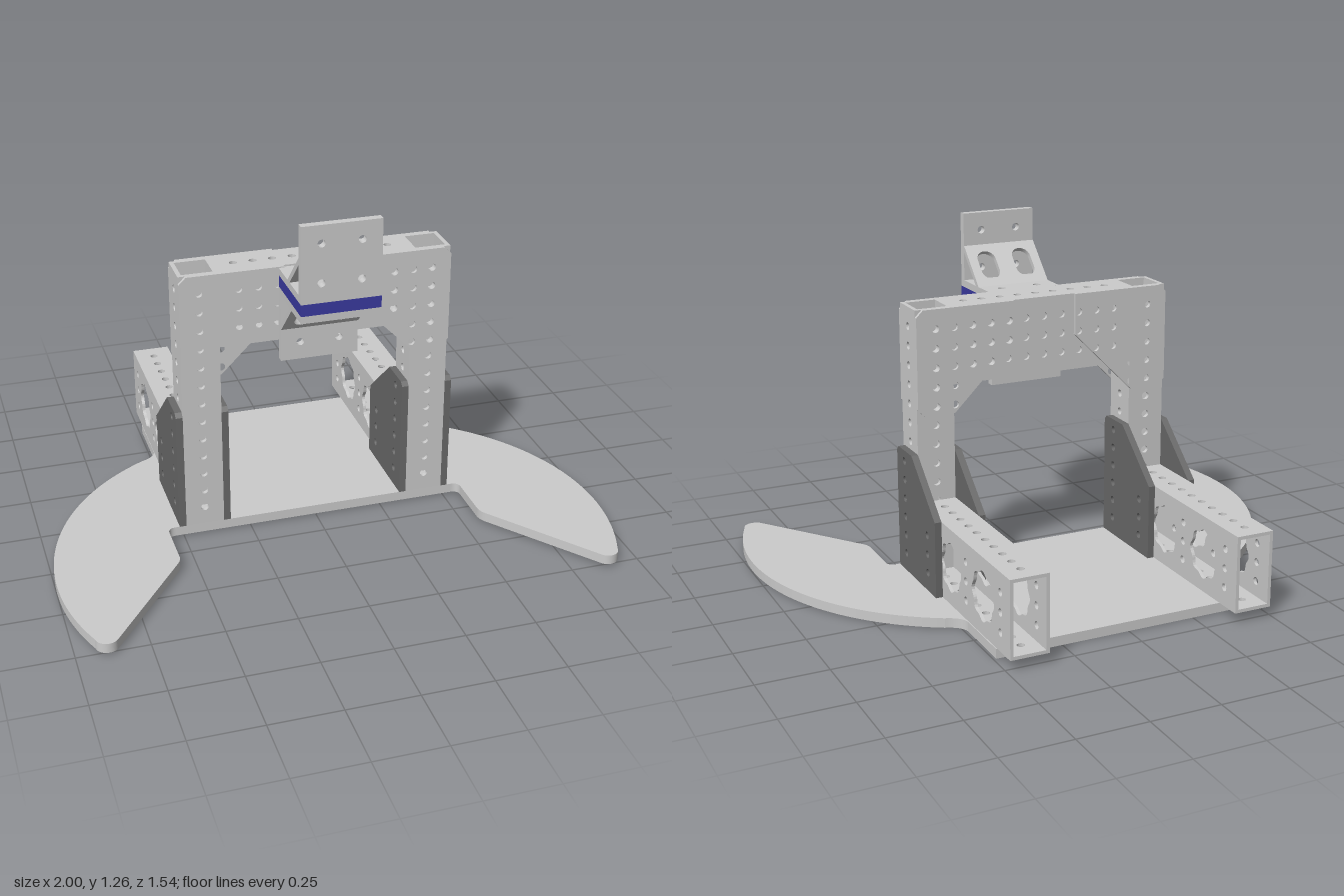
import * as THREE from 'three';

const grey = new THREE.MeshStandardMaterial({ color: 0xcccccc });
const dark = new THREE.MeshStandardMaterial({ color: 0x6a6a6a });
const blue = new THREE.MeshStandardMaterial({ color: 0x3a3aa0 });
const R = 0.014, PITCH = 0.07;

// evenly spaced numbers from a to b at the hole pitch
const steps = (a, b, d = PITCH) =>
  Array.from({ length: Math.round((b - a) / d) + 1 }, (_, i) => a + i * d);
const grid = (xs, ys) => xs.flatMap(x => ys.map(y => [x, y]));
const rect = (x0, y0, x1, y1) => [[x0, y0], [x1, y0], [x1, y1], [x0, y1]];

function circle(x, y, r = R) {
  return new THREE.Path().absarc(x, y, r, 0, Math.PI * 2, true);
}

// scalloped lightening hole
function scallop(x, y) {
  const pts = steps(0, 63, 1).map(i => {
    const a = i / 64 * Math.PI * 2, r = 0.086 + 0.005 * Math.cos(8 * a);
    return new THREE.Vector2(x + r * Math.cos(a), y + r * Math.sin(a));
  });
  return new THREE.Path(pts);
}

// obround slot along y
function slot(x, y, r, half) {
  const p = new THREE.Path();
  p.absarc(x, y + half, r, 0, Math.PI, false);
  p.absarc(x, y - half, r, Math.PI, Math.PI * 2, false);
  p.closePath();
  return p;
}

// flat sheet with holes; plane 'xy' grows to +z, 'zy' to -x, 'xz' to -y from 'at'
function panel(name, plane, outline, holes, thick, at, material = grey) {
  const shape = new THREE.Shape(outline.map(p => new THREE.Vector2(p[0], p[1])));
  shape.holes = holes.map(h => (Array.isArray(h) ? circle(h[0], h[1]) : h));
  const geo = new THREE.ExtrudeGeometry(shape, { depth: thick, bevelEnabled: false, curveSegments: 10 });
  const mesh = new THREE.Mesh(geo, material);
  mesh.name = name;
  if (plane === 'zy') { mesh.rotation.y = -Math.PI / 2; mesh.position.x = at; }
  else if (plane === 'xz') { mesh.rotation.x = Math.PI / 2; mesh.position.y = at; }
  else mesh.position.z = at;
  return mesh;
}

function group(name, ...children) {
  const g = new THREE.Group();
  g.name = name;
  if (children.length) g.add(...children);
  return g;
}

// curved base with two forward-sweeping wings
function basePlate() {
  const half = new THREE.Path();
  half.moveTo(0.49, -0.66);
  half.lineTo(0.49, -0.43);
  half.quadraticCurveTo(0.495, -0.39, 0.55, -0.37);
  half.absarc(0.133, 0.39, 0.867, Math.atan2(-0.76, 0.417), Math.atan2(0.34, 0.797), false);
  half.absarc(0.89, 0.727, 0.04, 0.35, 2.45, false);
  half.lineTo(0.575, 0.375);
  half.quadraticCurveTo(0.56, 0.355, 0.56, 0.33);
  half.lineTo(0.56, 0.17);
  half.quadraticCurveTo(0.56, 0.14, 0.53, 0.14);
  const right = half.getPoints(24).map(p => [p.x, p.y]);
  const outline = [...right, ...right.map(([x, z]) => [-x, z]).reverse()];
  const plate = panel('basePlate', 'xz', outline, grid([-0.42, 0.42], steps(-0.63, -0.07)), 0.035, 0.042);
  plate.rotation.x -= 0.007;
  return plate;
}

// low hollow rail running backwards
function rail(cx) {
  const z0 = -0.77, z1 = 0, y0 = 0.042, y1 = 0.32, t = 0.012;
  const side = () => [...grid([-0.695, -0.415, -0.135], [0.11, 0.18, 0.25]),
    scallop(-0.555, 0.18), scallop(-0.285, 0.18)];
  const flat = rect(cx - 0.07, z0, cx + 0.07, z1);
  const top = grid([cx], steps(-0.7, -0.07));
  return group('rail',
    panel('railSide', 'zy', rect(z0, y0, z1, y1), side(), t, cx + 0.07),
    panel('railSide', 'zy', rect(z0, y0, z1, y1), side(), t, cx - 0.07 + t),
    panel('railTop', 'xz', flat, top, t, y1),
    panel('railBottom', 'xz', flat, top, t, y0 + t));
}

// hollow square post
function upright(cx) {
  const y0 = 0.042, y1 = 1.02, t = 0.015;
  const ys = steps(0.11, 0.95);
  const face = rect(cx - 0.07, y0, cx + 0.07, y1), side = rect(0, y0, 0.14, y1);
  return group('upright',
    panel('uprightFront', 'xy', face, grid([cx], ys), t, 0.14 - t),
    panel('uprightBack', 'xy', face, grid([cx], ys), t, 0),
    panel('uprightSide', 'zy', side, grid([0.07], ys), t, cx + 0.07),
    panel('uprightSide', 'zy', side, grid([0.07], ys), t, cx - 0.07 + t));
}

// hollow cross beam between the posts
function crossBeam() {
  const t = 0.012, xs = steps(-0.28, 0.28);
  const face = rect(-0.35, 0.74, 0.35, 1.02), flat = rect(-0.35, 0, 0.35, 0.14);
  const holes = grid(xs, [0.81, 0.88, 0.95]);
  return group('crossBeam',
    panel('beamFront', 'xy', face, holes, t, 0.14 - t),
    panel('beamBack', 'xy', face, holes, t, 0),
    panel('beamTop', 'xz', flat, grid(xs, [0.07]), t, 1.02),
    panel('beamBottom', 'xz', flat, grid(xs, [0.07]), t, 0.74 + t));
}

// corner gusset on one face of the frame
function gusset(s, z) {
  const outline = [[0.12, 1.02], [0.12, 0.87], [0.35, 0.64], [0.465, 0.64],
    [0.49, 0.665], [0.49, 0.995], [0.465, 1.02]].map(([x, y]) => [s * x, y]);
  const holes = [...grid([0.14, 0.21, 0.28, 0.35, 0.42], [0.88, 0.95]),
    ...grid([0.21, 0.28, 0.35, 0.42], [0.81]), ...grid([0.35, 0.42], [0.74, 0.67])];
  return panel('cornerGusset', 'xy', outline, holes.map(([x, y]) => [s * x, y]), 0.012, z);
}

// dark plate joining post and rail
function sidePlate(x) {
  const outline = [[0.14, 0.042], [0.14, 0.485], [0.125, 0.5], [0, 0.5], [-0.208, 0.32], [-0.208, 0.042]];
  const holes = [...grid([0.07], steps(0.11, 0.46)), ...grid([-0.135], [0.11, 0.18, 0.25])];
  return panel('sidePlate', 'zy', outline, holes, 0.025, x, dark);
}

// braced angle bracket, outer corner at the origin, legs along +y and -z
function bracket(name) {
  const holes = sign => grid([-0.07, 0.07], [0.07 * sign, 0.21 * sign]);
  const brace = panel('bracketBrace', 'xy', rect(-0.14, -0.092, 0.14, 0.092),
    [slot(-0.07, 0, 0.036, 0.025), slot(0.07, 0, 0.036, 0.025)], 0.018, 0);
  brace.position.set(0, 0.09, -0.095);
  brace.rotation.x = Math.PI / 4;
  return group(name,
    panel('bracketWall', 'xy', rect(-0.14, 0, 0.14, 0.275), holes(1), 0.028, -0.028),
    panel('bracketShelf', 'xz', rect(-0.14, -0.27, 0.14, -0.028), holes(-1), 0.026, 0.026),
    brace);
}

export function createModel() {
  const model = group('frameStand', basePlate(), crossBeam());
  for (const s of [1, -1]) {
    model.add(rail(0.42 * s), upright(0.42 * s));
    model.add(sidePlate(0.42 * s + 0.095), sidePlate(0.42 * s - 0.07));
    model.add(gusset(s, 0.14), gusset(s, -0.012));
  }

  // front mount: two opposed brackets with a pad between
  const upper = bracket('upperBracket');
  upper.position.set(0, 0.99, 0.415);
  const lower = bracket('lowerBracket');
  lower.rotation.x = Math.PI;
  lower.position.set(0, 0.948, 0.145);
  const pad = panel('pad', 'xz', rect(-0.14, 0.155, 0.14, 0.415),
    grid([-0.07, 0.07], [0.205, 0.345]), 0.042, 0.99, blue);
  model.add(upper, lower, pad);
  return model;
}
